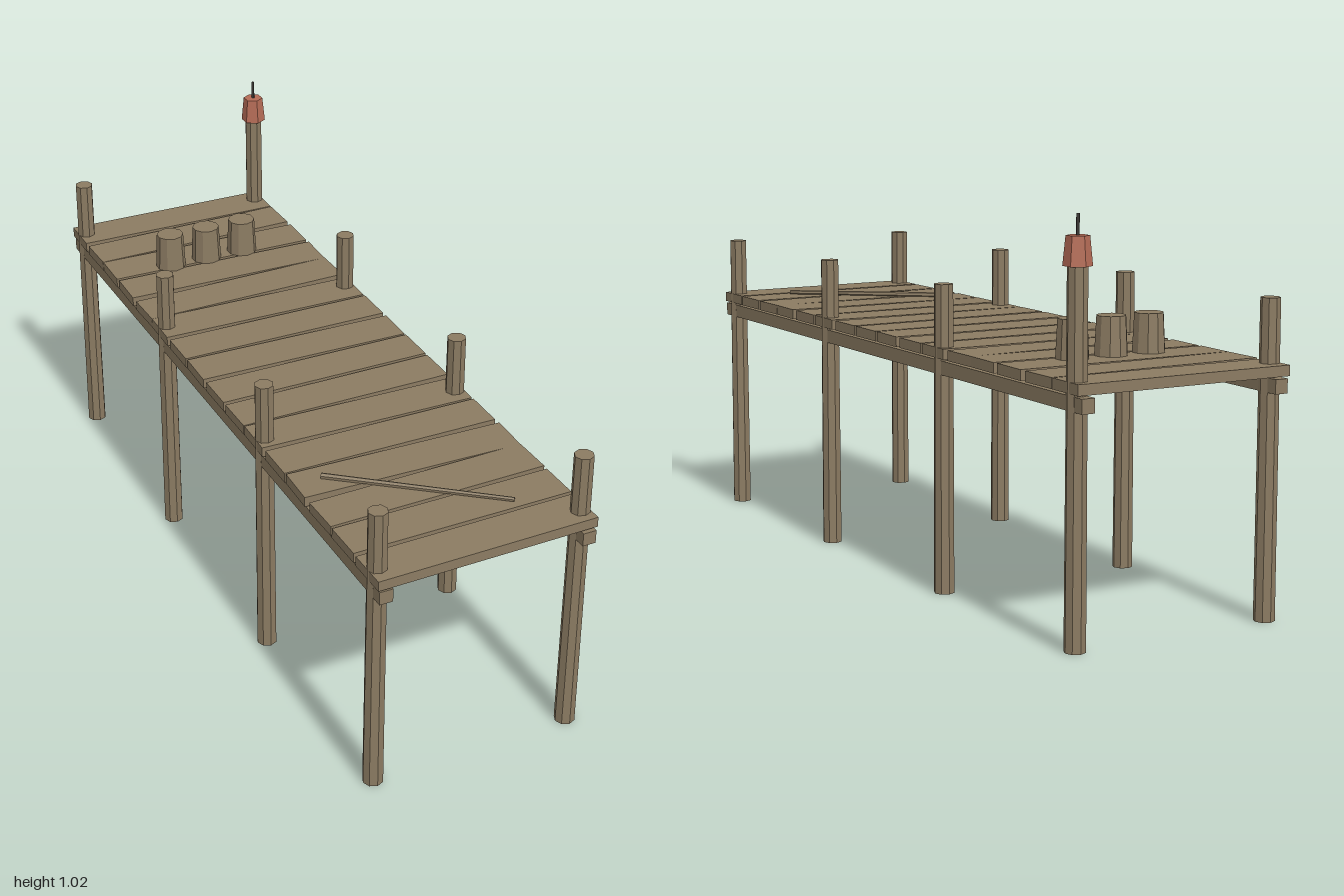
import * as THREE from 'three';

export function createModel() {
  const model = new THREE.Group();
  const flat = (name, color) => {
    const m = new THREE.MeshStandardMaterial({ color, flatShading: true });
    m.name = name;
    return m;
  };
  const wood = flat('weathered wood', 0x8b7b62);
  const red = flat('faded red', 0xb56c56);
  const iron = flat('dark iron', 0x4a4540);

  const add = (name, geometry, material, x, y, z) => {
    const mesh = new THREE.Mesh(geometry, material);
    mesh.name = name;
    mesh.position.set(x, y, z);
    model.add(mesh);
    return mesh;
  };
  // Upright round part standing on height y
  const upright = (name, rTop, rBottom, h, sides, material, x, y, z) =>
    add(name, new THREE.CylinderGeometry(rTop, rBottom, h, sides), material, x, y + h / 2, z);

  // Posts and the two long beams beneath the deck
  const left = 0.272, right = -0.278;
  for (const x of [right, left]) {
    for (const z of [0.95, 0.325, -0.325, -0.95]) {
      const h = x === left && z === -0.95 ? 0.906 : 0.8;
      upright('post', 0.025, 0.027, h, 8, wood, x, 0, z);
    }
    add('beam', new THREE.BoxGeometry(0.036, 0.036, 2), wood, x, 0.589, 0);
  }

  // Deck planks, each turned a little (z drift across the width, in thousandths)
  const drift = [8, -8, 11, 13, -11, 11, 2, 11, 0, -3, 13, 3, 16, -11, -5, -8];
  drift.forEach((d, i) => {
    const plank = add('plank', new THREE.BoxGeometry(0.597, 0.027, 0.114), wood,
      -0.003, 0.6265, -0.941 + i * 0.1255);
    plank.rotation.y = -d / 600;
  });

  // Upturned buckets
  for (const x of [-0.128, -0.016, 0.097]) {
    upright('bucket', 0.038, 0.043, 0.1, 10, wood, x, 0.64, -0.655);
  }

  // Pole lying across the deck
  const pole = add('pole', new THREE.CylinderGeometry(0.006, 0.008, 0.48, 6), wood, -0.04, 0.646, 0.7);
  pole.quaternion.setFromUnitVectors(
    new THREE.Vector3(0, 1, 0), new THREE.Vector3(0.38, 0, 0.3).normalize());

  // Lantern on the tall post
  upright('lantern', 0.028, 0.035, 0.07, 6, red, left, 0.905, -0.95);
  upright('lanternSpike', 0.004, 0.004, 0.05, 6, iron, left, 0.975, -0.95);

  return model;
}
